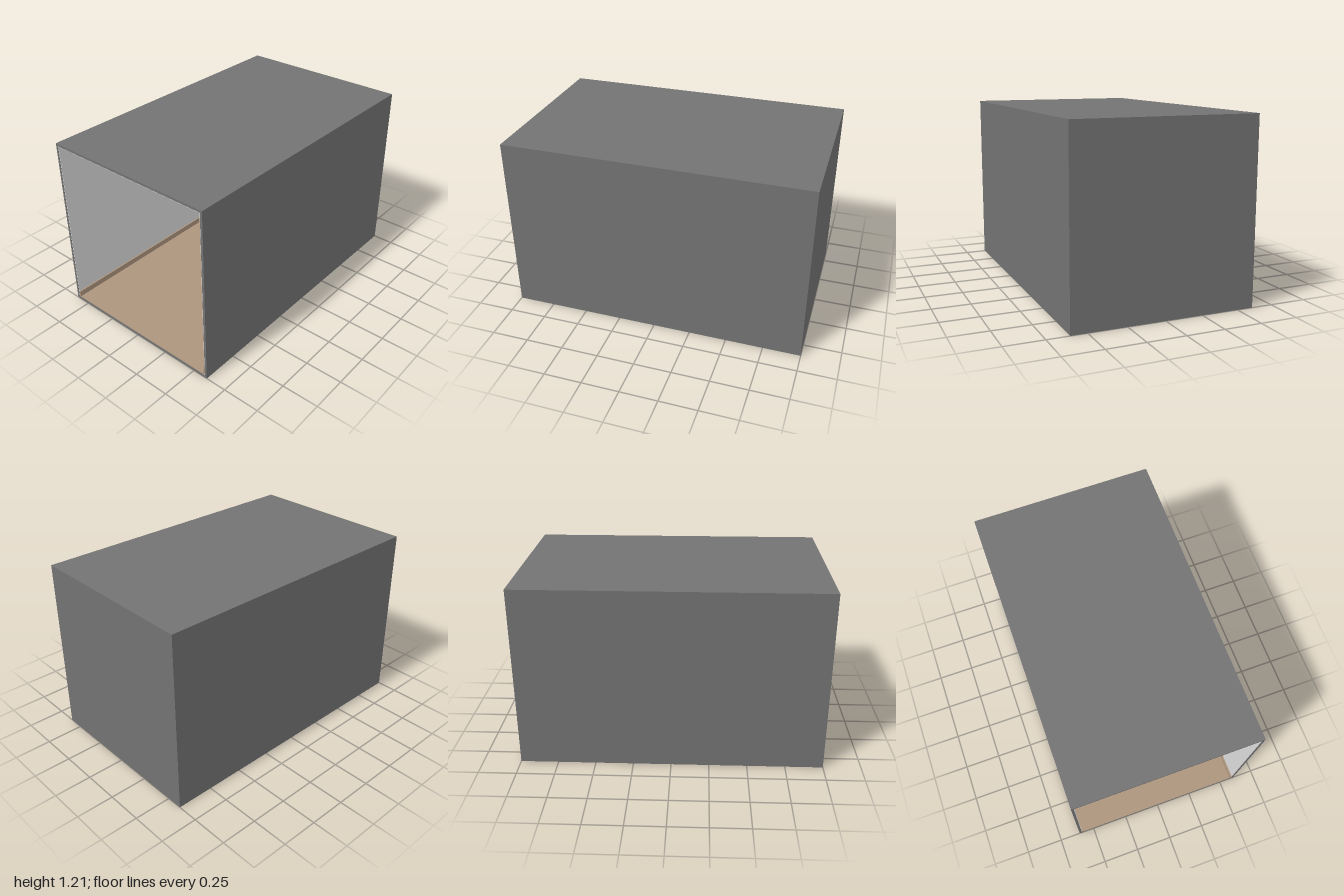
import * as THREE from 'three';

const L = 2, H = 1.214, W = 1.214; // outer length (x), height (y), width (z)
const T = 0.016;                   // shell thickness
const P = 0.004;                   // lining thickness

const mat = (name, color) => {
  const m = new THREE.MeshStandardMaterial({ color });
  m.name = name;
  return m;
};

export function createModel() {
  const group = new THREE.Group();
  group.name = 'openRoomBox';
  const shellGrey = mat('shellGrey', 0x737373);
  const wallGrey = mat('wallGrey', 0xdcdcdc);
  const wood = mat('wood', 0xae957e);

  // Box given by its minimum and maximum corners
  const box = (name, material, a, b) => {
    const geo = new THREE.BoxGeometry(b[0] - a[0], b[1] - a[1], b[2] - a[2]);
    geo.translate((a[0] + b[0]) / 2, (a[1] + b[1]) / 2, (a[2] + b[2]) / 2);
    const mesh = new THREE.Mesh(geo, material);
    mesh.name = name;
    group.add(mesh);
    return mesh;
  };

  // Square section drawn in the z-y plane
  const rect = (Cls, inset) => new Cls([
    [-W / 2 + inset, inset], [W / 2 - inset, inset],
    [W / 2 - inset, H - inset], [-W / 2 + inset, H - inset],
  ].map(([x, y]) => new THREE.Vector2(x, y)));

  // Outer sleeve: a square tube along x, open at -x
  const section = rect(THREE.Shape, 0);
  section.holes.push(rect(THREE.Path, T));
  const sleeveGeo = new THREE.ExtrudeGeometry(section, { depth: L - T, bevelEnabled: false });
  sleeveGeo.translate(0, 0, -L / 2);
  sleeveGeo.rotateY(Math.PI / 2);
  const sleeve = new THREE.Mesh(sleeveGeo, shellGrey);
  sleeve.name = 'outerShell';
  group.add(sleeve);

  // Closed end at +x
  box('endPanel', shellGrey, [L / 2 - T, 0, -W / 2], [L / 2, H, W / 2]);

  // Interior lining: two side walls, ceiling, end wall and floor
  const x0 = -L / 2 + 0.002, x1 = L / 2 - T;
  const z1 = W / 2 - T, y0 = T, y1 = H - T;
  for (const s of [-1, 1]) {
    const z = [s * z1, s * (z1 - P)].sort((a, b) => a - b);
    box(s > 0 ? 'frontInnerWall' : 'backInnerWall', wallGrey, [x0, y0, z[0]], [x1, y1, z[1]]);
  }
  const zi = z1 - P, xi = x1 - P;
  box('ceiling', wallGrey, [x0, y1 - P, -zi], [x1, y1, zi]);
  box('endInnerWall', wallGrey, [xi, y0, -zi], [x1, y1 - P, zi]);
  box('floor', wood, [x0, y0, -zi], [xi, y0 + P, zi]);

  // Skirting boards around the three closed walls
  const sh = 0.04, st = 0.01, yf = y0 + P;
  box('frontSkirting', wood, [x0, yf, zi - st], [xi, yf + sh, zi]);
  box('backSkirting', wood, [x0, yf, -zi], [xi, yf + sh, -zi + st]);
  box('endSkirting', wood, [xi - st, yf, -zi + st], [xi, yf + sh, zi - st]);

  return group;
}
